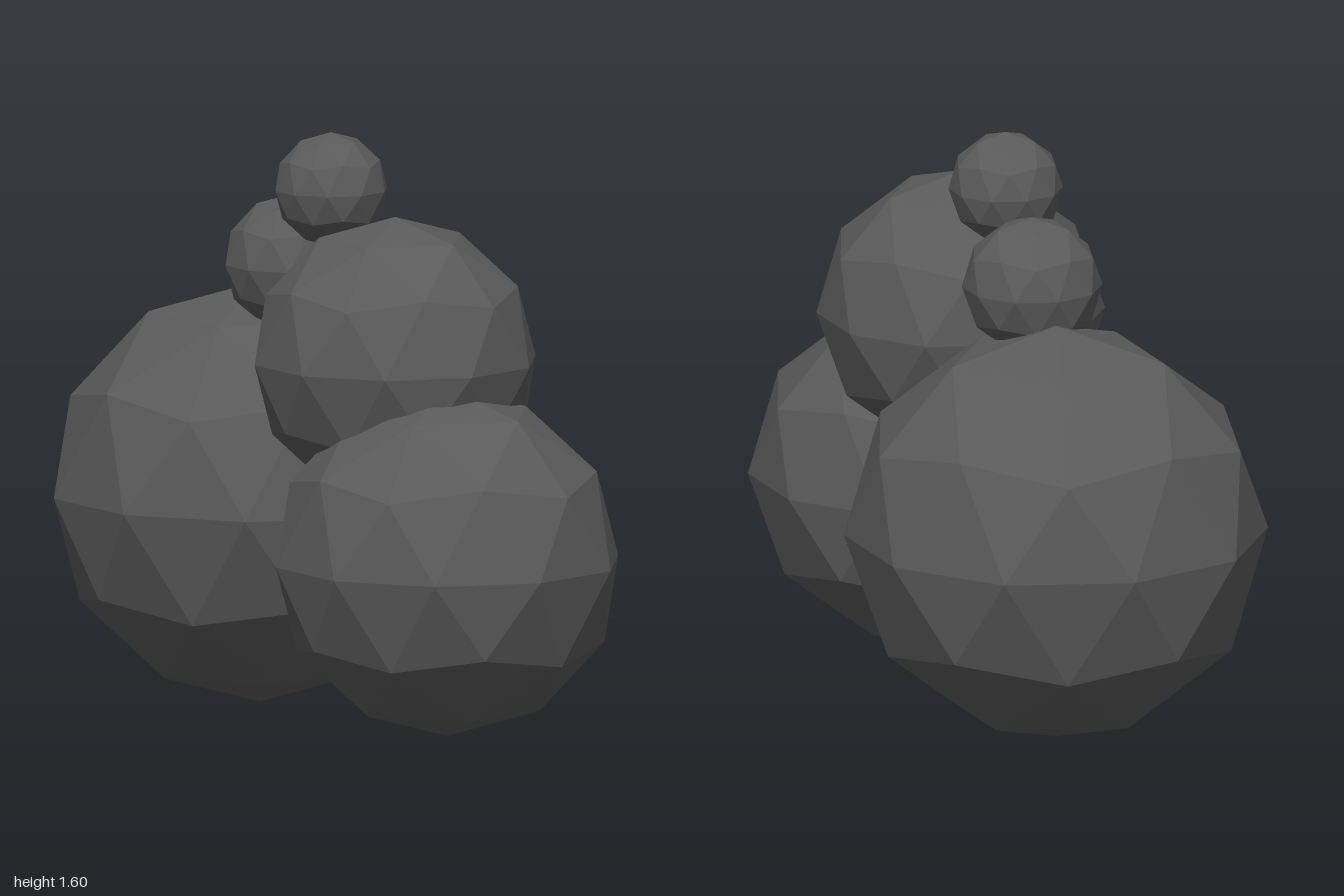
import * as THREE from 'three';

export function createModel() {
  const group = new THREE.Group();
  group.name = 'ballCluster';

  const darkGrey = new THREE.MeshStandardMaterial({ color: 0x5a5a5a, flatShading: true });
  darkGrey.name = 'darkGrey';

  // Once-divided icosahedron, turned so that one corner points straight up
  const tilt = -Math.atan(2 / (1 + Math.sqrt(5)));
  const ball = new THREE.IcosahedronGeometry(1, 1).rotateZ(tilt);

  // Name, radius, centre height, centre depth
  const balls = [
    ['largeBackBall', 0.573, 0.577, -0.426],
    ['frontBall', 0.475, 0.505, 0.525],
    ['upperBall', 0.39, 1.02, 0.26],
    ['smallBall', 0.19, 1.22, -0.255],
    ['topBall', 0.155, 1.445, -0.065],
  ];

  for (const [name, radius, y, z] of balls) {
    const mesh = new THREE.Mesh(ball, darkGrey);
    mesh.name = name;
    mesh.scale.setScalar(radius);
    mesh.position.set(0, y, z);
    group.add(mesh);
  }
  return group;
}
